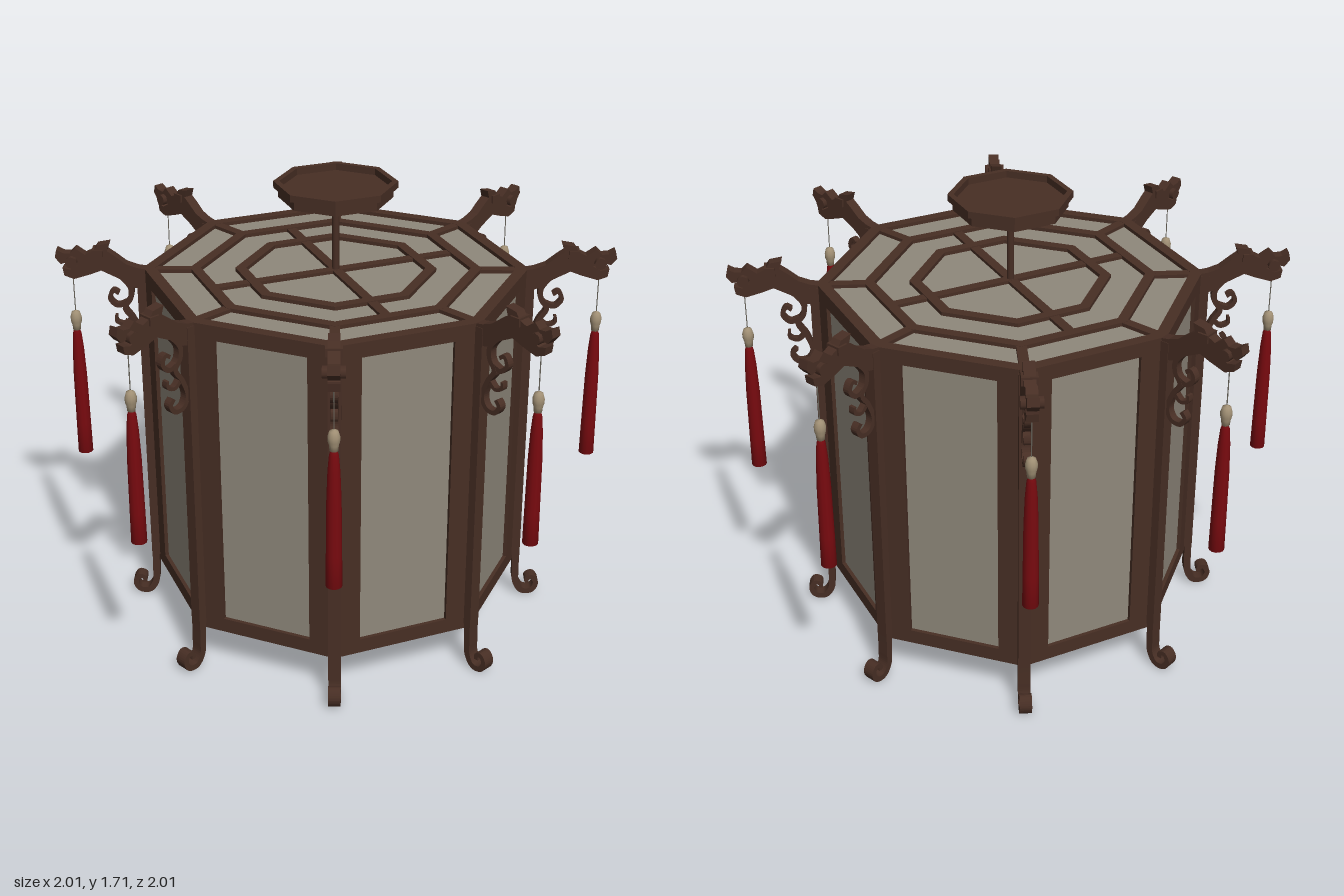
import * as THREE from 'three';

const wood = new THREE.MeshStandardMaterial({ color: 0x472e24 });
wood.name = 'dark wood';
const paper = new THREE.MeshStandardMaterial({ color: 0x8f887b });
paper.name = 'lantern paper';
const red = new THREE.MeshStandardMaterial({ color: 0x780a0f });
red.name = 'tassel red';
const ivory = new THREE.MeshStandardMaterial({ color: 0xa08f74 });
ivory.name = 'bead ivory';
const cord = new THREE.MeshStandardMaterial({ color: 0x6f6a60 });
cord.name = 'cord grey';

const TURN = THREE.MathUtils.degToRad(10); // the octagon's twist about y
const STEP = Math.PI / 4;
const R = 0.7; // corner radius of the body
const APOTHEM = R * Math.cos(STEP / 2);
const BASE = 0.16, TOP = 1.38;

function add(parent, name, geometry, material, x = 0, y = 0, z = 0) {
  const mesh = new THREE.Mesh(geometry, material);
  mesh.name = name;
  mesh.position.set(x, y, z);
  parent.add(mesh);
  return mesh;
}

const octagon = (r) => Array.from({ length: 8 }, (_, k) =>
  new THREE.Vector2(r * Math.cos(TURN + k * STEP), r * Math.sin(TURN + k * STEP)));

// Horizontal octagonal slab, with an octagonal opening if inner > 0
function slab(outer, inner, height) {
  const shape = new THREE.Shape(octagon(outer));
  if (inner) shape.holes.push(new THREE.Path(octagon(inner)));
  return new THREE.ExtrudeGeometry(shape, { depth: height, bevelEnabled: false }).rotateX(-Math.PI / 2);
}

// Flat cut-out in the radius/height plane, centred on its thickness
function cutout(points, thickness) {
  const shape = new THREE.Shape(points.map(([x, y]) => new THREE.Vector2(x, y)));
  return new THREE.ExtrudeGeometry(shape, { depth: thickness, bevelEnabled: false }).translate(0, 0, -thickness / 2);
}

// Curved strip that tapers from width w0 to w1
function ribbon(points, w0, w1, thickness, n = 32) {
  const curve = new THREE.SplineCurve(points.map(([x, y]) => new THREE.Vector2(x, y)));
  const left = [], right = [];
  for (let i = 0; i <= n; i++) {
    const p = curve.getPoint(i / n), t = curve.getTangent(i / n);
    const h = THREE.MathUtils.lerp(w0, w1, i / n) / 2;
    left.push([p.x - t.y * h, p.y + t.x * h]);
    right.unshift([p.x + t.y * h, p.y - t.x * h]);
  }
  return cutout([...left, ...right], thickness);
}

// Lattice of rings and spokes over a paper sheet
function lattice(name, y, paperY) {
  const group = new THREE.Group();
  group.name = name;
  const h = 0.03;
  add(group, name + 'Paper', slab(0.67, 0, 0.008), paper, 0, paperY, 0);
  for (const [outer, inner] of [[R, 0.655], [0.53, 0.49], [0.365, 0.325]])
    add(group, name + 'Ring', slab(outer, inner, h), wood, 0, y, 0);
  for (let k = 0; k < 8; k++) {
    const spoke = add(group, name + 'Spoke', new THREE.BoxGeometry(0.17, h - 0.002, 0.036).translate(0.59, 0, 0), wood, 0, y + h / 2, 0);
    spoke.rotation.y = TURN + k * STEP;
  }
  for (let k = 0; k < 2; k++) {
    const bar = add(group, name + 'CrossBar', new THREE.BoxGeometry(0.94, h - 0.004 - k * 0.002, 0.036), wood, 0, y + h / 2, 0);
    bar.rotation.y = TURN + STEP / 2 + k * Math.PI / 2;
  }
  return group;
}

// Side frame with a recessed paper pane; faces +z before turning
function sidePanel() {
  const group = new THREE.Group();
  group.name = 'sidePanel';
  const rect = (path, w, y0, y1) => {
    path.moveTo(-w, y0); path.lineTo(w, y0); path.lineTo(w, y1); path.lineTo(-w, y1);
    path.closePath();
    return path;
  };
  const shape = rect(new THREE.Shape(), 0.265, BASE, TOP);
  shape.holes.push(rect(new THREE.Path(), 0.17, 0.215, 1.325));
  add(group, 'sideFrame', new THREE.ExtrudeGeometry(shape, { depth: 0.03, bevelEnabled: false }), wood, 0, 0, APOTHEM - 0.03);
  add(group, 'sidePane', new THREE.BoxGeometry(0.35, 1.12, 0.008), paper, 0, 0.77, APOTHEM - 0.018);
  return group;
}

// Beast-head arm outline: underside, jaws, brow, crest, neck
const headOutline = [
  [0.69, 1.3], [0.74, 1.31], [0.79, 1.345], [0.85, 1.375], [0.89, 1.36], [0.95, 1.342], [0.985, 1.355],
  [0.99, 1.385], [0.96, 1.378], [0.93, 1.395], [0.96, 1.41], [0.995, 1.4], [1.015, 1.425], [1.008, 1.455],
  [0.985, 1.442], [0.96, 1.44], [0.94, 1.46], [0.905, 1.435], [0.875, 1.45], [0.86, 1.472], [0.815, 1.48],
  [0.825, 1.45], [0.8, 1.432], [0.76, 1.4], [0.72, 1.385], [0.69, 1.38],
];
const legCurve = [[0.707, 0.2], [0.709, 0.11], [0.713, 0.055], [0.738, 0.017], [0.776, 0.019],
  [0.792, 0.05], [0.778, 0.077], [0.757, 0.07], [0.757, 0.052]];
const bracketCurve = [[0.79, 1.36], [0.75, 1.31], [0.75, 1.265], [0.772, 1.225], [0.745, 1.18],
  [0.725, 1.12], [0.742, 1.078], [0.78, 1.072], [0.8, 1.1], [0.785, 1.122]];
const curlCurve = [[0.765, 1.245], [0.8, 1.235], [0.825, 1.262], [0.812, 1.292], [0.792, 1.282]];
const lowerCurlCurve = [[0.748, 1.185], [0.775, 1.16], [0.805, 1.17], [0.806, 1.195]];

function tassel() {
  const group = new THREE.Group();
  group.name = 'tassel';
  const lathe = (pts, sides) => new THREE.LatheGeometry(pts.map(([x, y]) => new THREE.Vector2(x, y)), sides);
  add(group, 'tasselCord', new THREE.CylinderGeometry(0.002, 0.002, 0.17, 6), cord, 0, 1.28, 0);
  add(group, 'tasselBead', lathe([[0, 1.13], [0.014, 1.135], [0.016, 1.155], [0.02, 1.168], [0.021, 1.185], [0.015, 1.205], [0, 1.213]], 12), ivory);
  add(group, 'tasselSkirt', lathe([[0, 0.632], [0.028, 0.63], [0.027, 0.75], [0.025, 0.95], [0.021, 1.06], [0.016, 1.12], [0.009, 1.142], [0, 1.145]], 12), red);
  return group;
}

// Everything at one corner, reaching out along +x before turning
function corner() {
  const group = new THREE.Group();
  group.name = 'corner';
  add(group, 'cornerPost', new THREE.BoxGeometry(0.04, 1.19, 0.045), wood, 0.702, 0.775, 0);
  add(group, 'curledLeg', ribbon(legCurve, 0.028, 0.016, 0.045, 40), wood);
  add(group, 'headArm', cutout(headOutline, 0.04), wood);
  add(group, 'headCheeks', new THREE.CylinderGeometry(0.022, 0.022, 0.075, 8).rotateX(Math.PI / 2), wood, 0.955, 1.41, 0);
  add(group, 'headEars', new THREE.BoxGeometry(0.04, 0.03, 0.056), wood, 0.86, 1.44, 0);
  add(group, 'scrollBracket', ribbon(bracketCurve, 0.02, 0.016, 0.028, 48), wood);
  add(group, 'bracketCurl', ribbon(curlCurve, 0.018, 0.014, 0.026, 20), wood);
  add(group, 'bracketLowerCurl', ribbon(lowerCurlCurve, 0.016, 0.01, 0.024, 16), wood);
  const hanging = tassel();
  hanging.position.x = 0.957;
  group.add(hanging);
  return group;
}

export function createModel() {
  const model = new THREE.Group();
  model.name = 'palaceLantern';

  // Body
  model.add(lattice('roof', TOP - 0.03, TOP - 0.022));
  model.add(lattice('floor', BASE, BASE + 0.014));
  for (let k = 0; k < 8; k++) {
    const panel = sidePanel();
    panel.rotation.y = Math.PI / 2 + TURN + STEP / 2 + k * STEP;
    const post = corner();
    post.rotation.y = TURN + k * STEP;
    model.add(panel, post);
  }

  // Hanging stem and ceiling plate
  add(model, 'stem', new THREE.CylinderGeometry(0.013, 0.013, 0.32, 12), wood, 0, 1.51, 0);
  add(model, 'ceilingPlate', slab(0.205, 0, 0.035), wood, 0, 1.65, 0);
  add(model, 'ceilingPlateRim', slab(0.222, 0.2, 0.025), wood, 0, 1.685, 0);
  return model;
}
